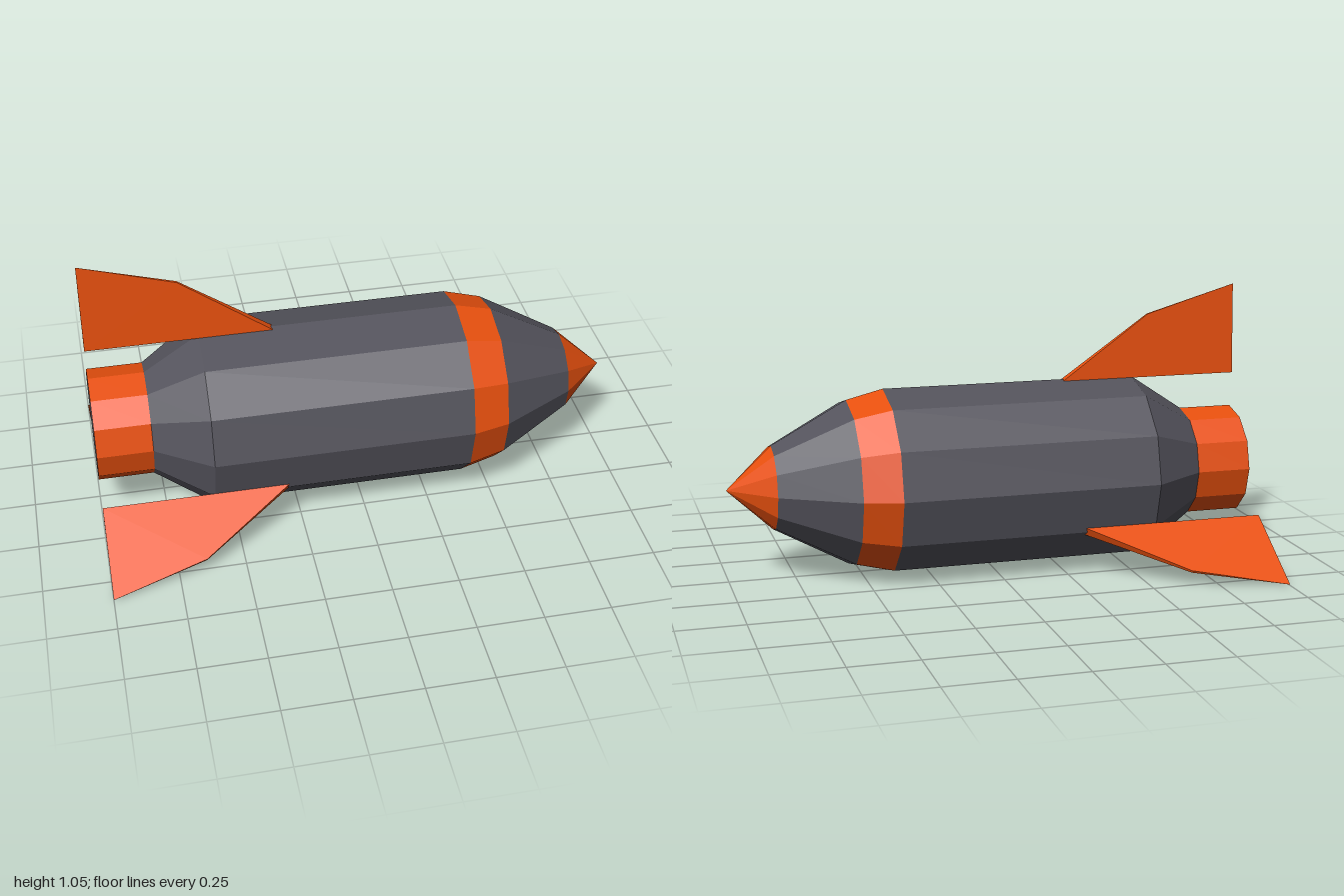
import * as THREE from 'three';

const SIDES = 12;
const AXIS_Y = 0.353;

export function createModel() {
  const model = new THREE.Group();
  model.name = 'rocket';
  const orange = new THREE.MeshStandardMaterial({ color: 0xe8500e, flatShading: true });
  const dark = new THREE.MeshStandardMaterial({ color: 0x54535c, flatShading: true });

  const add = (name, geometry, material) => {
    const mesh = new THREE.Mesh(geometry, material);
    mesh.name = name;
    mesh.position.y = AXIS_Y;
    model.add(mesh);
    return mesh;
  };

  // Hull rings along x: [name, rear x, rear radius, front x, front radius, material]
  const rings = [
    ['engineNozzle', -1, 0.212, -0.79, 0.212, orange],
    ['tailTaper', -0.79, 0.212, -0.58, 0.352, dark],
    ['mainBody', -0.58, 0.352, 0.405, 0.352, dark],
    ['noseBand', 0.405, 0.352, 0.545, 0.317, orange],
    ['noseTaper', 0.545, 0.317, 0.83, 0.16, dark],
    ['noseTip', 0.83, 0.16, 1, 0, orange],
  ];
  for (const [name, x0, r0, x1, r1, material] of rings) {
    const ring = new THREE.CylinderGeometry(r1, r0, x1 - x0, SIDES, 1, true);
    ring.rotateZ(-Math.PI / 2).translate((x0 + x1) / 2, 0, 0);
    add(name, ring, material);
  }

  // Dark disc closing the nozzle
  const disc = new THREE.CircleGeometry(0.212, SIDES);
  disc.rotateY(-Math.PI / 2).translate(-1, 0, 0);
  add('nozzleDisc', disc, dark);

  // Fin: outline in x and radius, thickness tapering to a point at the tip
  const root = 0.347, tip = 0.697, halfThickness = 0.017;
  const outline = new THREE.Shape([
    new THREE.Vector2(-1, root),
    new THREE.Vector2(-0.3, root),
    new THREE.Vector2(-0.645, 0.592),
    new THREE.Vector2(-1, tip),
  ]);
  const finGeometry = new THREE.ExtrudeGeometry(outline, { depth: 1, bevelEnabled: false });
  const pos = finGeometry.attributes.position;
  for (let i = 0; i < pos.count; i++) {
    const half = halfThickness * (tip - pos.getY(i)) / (tip - root);
    pos.setZ(i, pos.getZ(i) > 0.5 ? half : -half);
  }
  finGeometry.computeVertexNormals();

  // Three fins around the axis
  ['topFin', 'leftFin', 'rightFin'].forEach((name, k) => {
    add(name, finGeometry, orange).rotation.x = k * Math.PI * 2 / 3;
  });

  return model;
}
